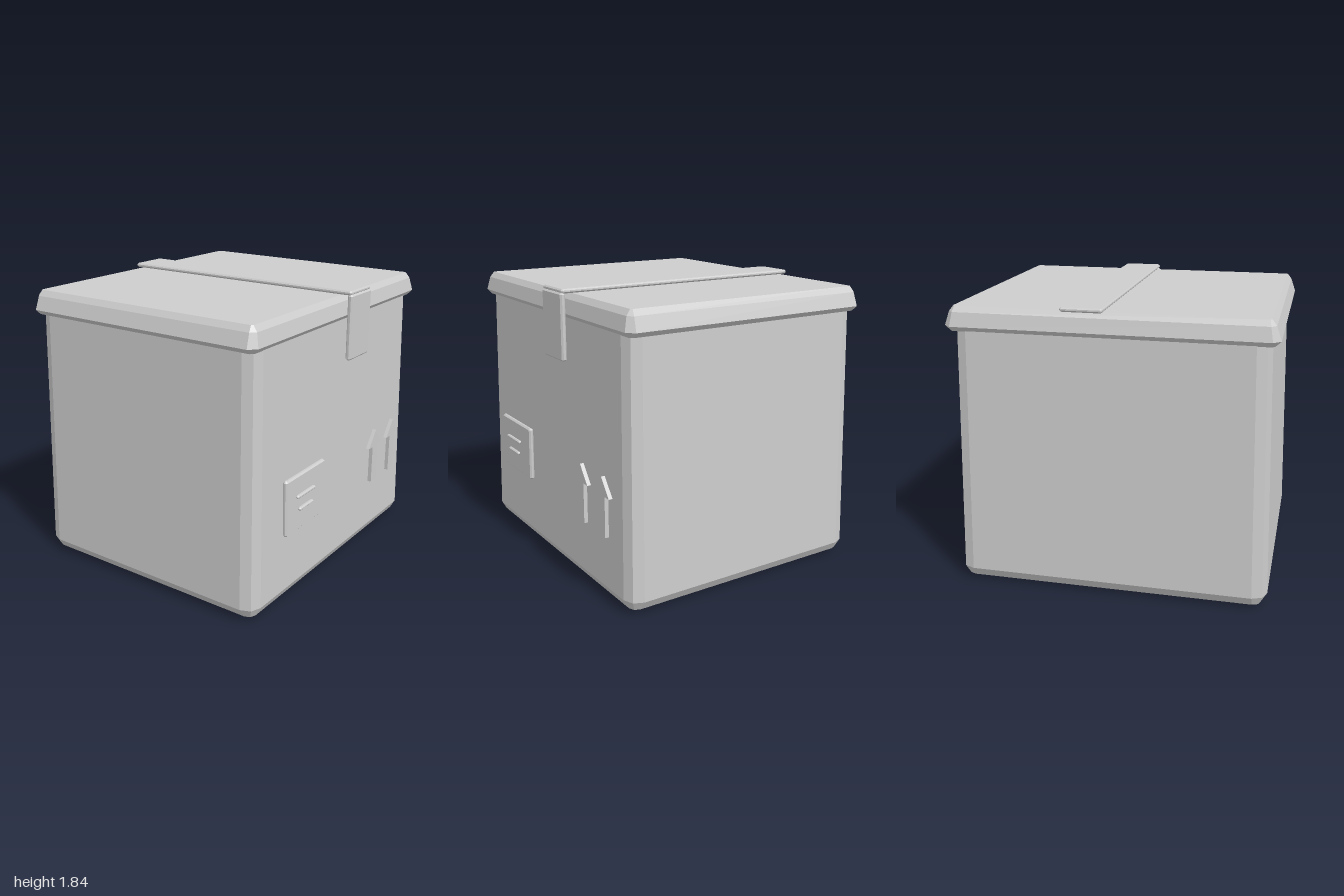
import * as THREE from 'three';

const cardboard = new THREE.MeshStandardMaterial({ color: 0xcccccc });
cardboard.name = 'plain grey';

// Rectangle with cut corners; steps = 2 gives a rounder, two-facet corner
function ring({ y, hx, hz, c }, steps) {
  const corner = [[hx - c, hz], [hx, hz - c]];
  if (steps === 2) corner.splice(1, 0, [hx - 0.29 * c, hz - 0.29 * c]);
  const next = corner.map(([x, z]) => [x, -z]).reverse();
  const half = [...corner, ...next];
  return [...half, ...half.map(([x, z]) => [-x, -z])].map(([x, z]) => new THREE.Vector3(x, y, z));
}

// Faceted solid through stacked sections, closed at both ends
function loft(sections, steps = 1) {
  const rings = sections.map((s) => ring(s, steps));
  const n = rings[0].length;
  const points = [];
  for (let r = 0; r < rings.length - 1; r++) {
    for (let i = 0; i < n; i++) {
      const j = (i + 1) % n;
      const [a, b, d, e] = [rings[r][i], rings[r][j], rings[r + 1][j], rings[r + 1][i]];
      points.push(a, b, d, a, d, e);
    }
  }
  const low = rings[0], top = rings[rings.length - 1];
  for (let i = 1; i < n - 1; i++) {
    points.push(low[0], low[i + 1], low[i], top[0], top[i], top[i + 1]);
  }
  const geometry = new THREE.BufferGeometry().setFromPoints(points);
  geometry.computeVertexNormals();
  return geometry;
}

// Box with small chamfers on every edge, centred on the origin
function chamferBox(w, h, d, c) {
  const x = w / 2, y = h / 2, z = d / 2;
  return loft([
    { y: -y, hx: x - c, hz: z - c, c: c * 0.5 },
    { y: -y + c, hx: x, hz: z, c },
    { y: y - c, hx: x, hz: z, c },
    { y, hx: x - c, hz: z - c, c: c * 0.5 },
  ]);
}

export function createModel() {
  const model = new THREE.Group();
  model.name = 'box';
  const add = (name, geometry, x, y, z, parent = model) => {
    const mesh = new THREE.Mesh(geometry, cardboard);
    mesh.name = name;
    mesh.position.set(x, y, z);
    parent.add(mesh);
    return mesh;
  };

  // Body: tapers upwards, with rounded upright and bottom edges
  add('body', loft([
    { y: 0, hx: 0.905, hz: 0.765, c: 0.02 },
    { y: 0.025, hx: 0.955, hz: 0.815, c: 0.05 },
    { y: 0.085, hx: 0.992, hz: 0.848, c: 0.09 },
    { y: 1.69, hx: 0.95, hz: 0.825, c: 0.085 },
  ], 2), 0, 0, -0.026);

  // Lid: wide lip with sloping sides
  add('lid', loft([
    { y: 1.655, hx: 0.966, hz: 0.822, c: 0.02 },
    { y: 1.687, hx: 1.0, hz: 0.852, c: 0.045 },
    { y: 1.773, hx: 0.97, hz: 0.832, c: 0.03 },
    { y: 1.808, hx: 0.943, hz: 0.805, c: 0.01 },
  ]), 0, 0, -0.026);

  // Tape across the lid and down the front
  const tape = new THREE.Group();
  tape.name = 'tape';
  model.add(tape);
  add('tapeTop', chamferBox(0.254, 0.027, 1.735, 0.009), 0.14, 1.8215, -0.018, tape);
  add('tapeFront', chamferBox(0.254, 0.415, 0.034, 0.01), 0.14, 1.605, 0.84, tape);

  // Shipping label with two printed lines, leaning with the front wall
  const label = new THREE.Group();
  label.name = 'label';
  label.position.set(-0.478, 0.655, 0.848);
  label.rotation.x = -0.014;
  model.add(label);
  add('labelPlate', chamferBox(0.446, 0.358, 0.032, 0.01), 0, 0, 0, label);
  add('upperLine', chamferBox(0.205, 0.021, 0.024, 0.007), -0.02, 0.048, 0.023, label);
  add('lowerLine', chamferBox(0.158, 0.021, 0.024, 0.007), -0.018, -0.038, 0.023, label);

  // Pair of upward arrows
  const arrow = new THREE.Shape([
    [-0.038, 0.43], [0.038, 0.43], [0.038, 0.69], [0.088, 0.69],
    [0, 0.805], [-0.088, 0.69], [-0.038, 0.69],
  ].map(([x, y]) => new THREE.Vector2(x, y)));
  const arrowGeometry = new THREE.ExtrudeGeometry(arrow, { depth: 0.025, bevelEnabled: false });
  for (const x of [0.453, 0.713]) add('arrow', arrowGeometry, x, 0, 0.829);

  return model;
}
